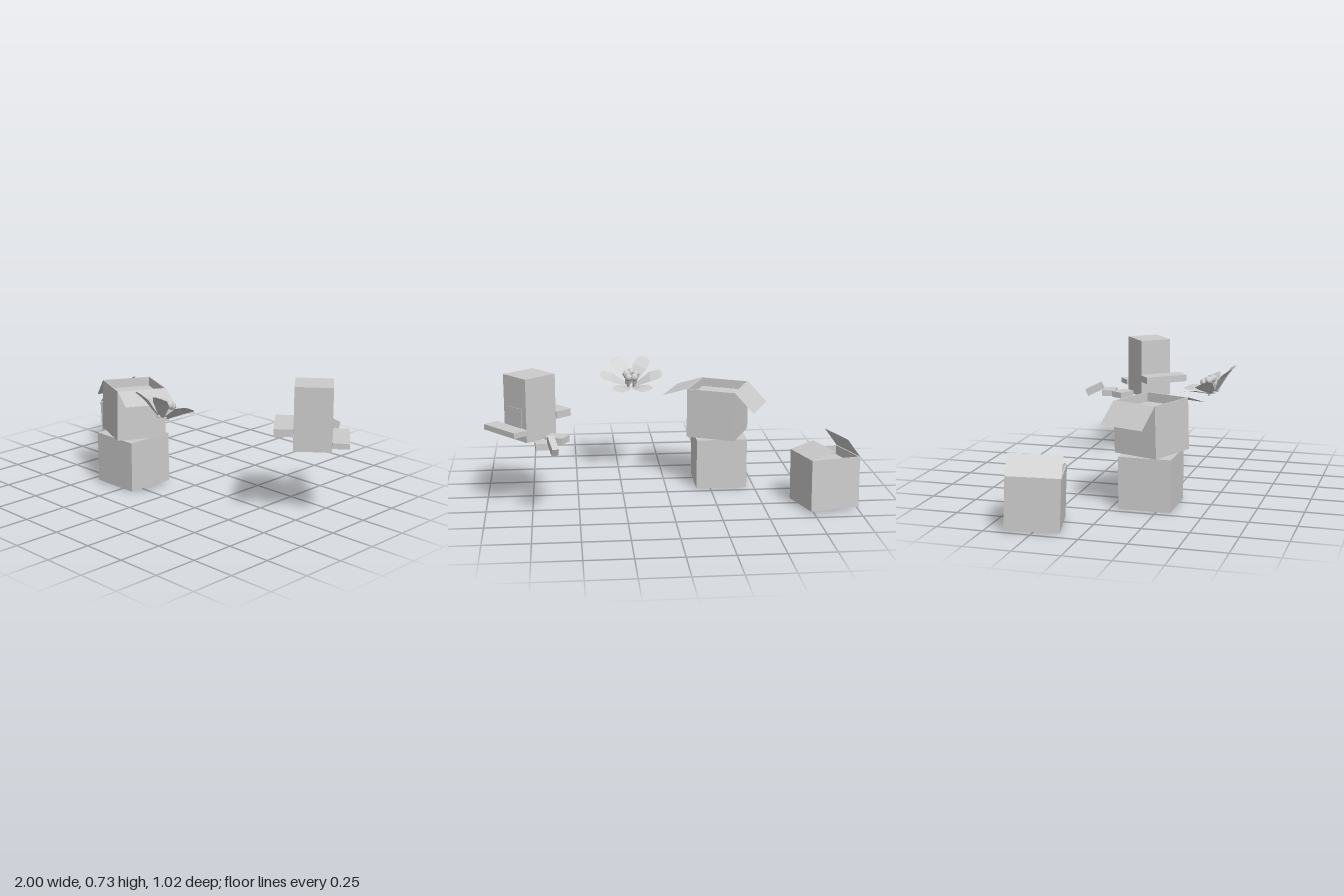
import * as THREE from 'three';

const rad = THREE.MathUtils.degToRad;
const flat = new THREE.MeshStandardMaterial({ color: 0xcccccc, flatShading: true });
const thin = new THREE.MeshStandardMaterial({ color: 0xcccccc, flatShading: true, side: THREE.DoubleSide });

function mesh(name, geometry, material = flat) {
  const m = new THREE.Mesh(geometry, material);
  m.name = name;
  return m;
}

function box(name, size, position, rotation = [0, 0, 0]) {
  const m = mesh(name, new THREE.BoxGeometry(...size));
  m.position.set(...position);
  m.rotation.set(...rotation.map(rad), 'YXZ');
  return m;
}

// Flap hinged on the left or right top edge; 0 degrees lies straight outwards
function flap(name, side, size, length, angle) {
  const geometry = new THREE.PlaneGeometry(length, size);
  geometry.rotateX(-Math.PI / 2).translate(length / 2, 0, 0);
  const hinge = new THREE.Group();
  const m = mesh(name, geometry, thin);
  m.rotation.z = rad(angle);
  hinge.add(m);
  hinge.position.set(side * size / 2, size / 2, 0);
  if (side < 0) hinge.rotation.y = Math.PI;
  return hinge;
}

// Carton with a thin rim around a sunken top and two side flaps
function openCarton(name, size, leftFlap, rightFlap) {
  const h = size / 2, r = h * Math.SQRT2, rim = 0.01, depth = 0.05;
  const profile = [[0, -h], [r, -h], [r, h], [r - rim, h], [r - rim, h - depth], [0, h - depth]]
    .map(([x, y]) => new THREE.Vector2(x, y));
  const g = new THREE.Group();
  g.name = name;
  g.add(mesh('cartonBody', new THREE.LatheGeometry(profile, 4).rotateY(Math.PI / 4)));
  g.add(flap('leftFlap', 1, size, ...leftFlap));
  g.add(flap('rightFlap', -1, size, ...rightFlap));
  return g;
}

// Petal running along +z, bent over three cross-sections
function petalGeometry() {
  const sections = [[0.02, 0.0, 0.03], [0.11, 0.06, 0.09], [0.165, 0.08, 0.08], [0.18, 0.083, 0.035]];
  const g = new THREE.PlaneGeometry(1, 1, 1, sections.length - 1);
  const p = g.attributes.position;
  sections.forEach(([z, y, w], i) => {
    p.setXYZ(2 * i, -w / 2, y, z);
    p.setXYZ(2 * i + 1, w / 2, y, z);
  });
  g.computeVertexNormals();
  return g;
}

function createFlower() {
  const g = new THREE.Group();
  g.name = 'flower';
  const petal = petalGeometry();
  for (let i = 0; i < 6; i++) {
    const m = mesh('petal', petal, thin);
    m.rotation.y = rad(30 + i * 60);
    g.add(m);
  }
  // Stamens: short stems with round tips
  for (let i = 0; i < 5; i++) {
    const a = i * Math.PI * 2 / 5, r = 0.028;
    const x = r * Math.sin(a), z = r * Math.cos(a);
    const stem = mesh('stamenStem', new THREE.CylinderGeometry(0.009, 0.009, 0.07, 6));
    stem.position.set(x, 0.03, z);
    const tip = mesh('stamenTip', new THREE.SphereGeometry(0.023, 8, 6));
    tip.position.set(x, 0.075, z);
    g.add(stem, tip);
  }
  g.position.set(0.175, 0.525, 0.415);
  g.rotation.x = rad(-26);
  return g;
}

// Tall block with two side slabs, a side panel and a trail of small blocks
function createBlockFigure() {
  const g = new THREE.Group();
  g.name = 'blockFigure';
  const torso = new THREE.Group();
  torso.name = 'torso';
  torso.add(box('body', [0.2, 0.345, 0.19], [0, 0, 0]));
  torso.add(box('leftSlab', [0.09, 0.03, 0.265], [0.145, -0.115, 0.028]));
  torso.add(box('rightSlab', [0.1, 0.04, 0.26], [-0.15, -0.055, 0.029]));
  torso.add(box('sidePanel', [0.01, 0.11, 0.115], [0.098, -0.05, 0]));
  torso.position.set(0.7525, 0.5525, -0.1175);
  torso.rotation.y = rad(39);
  g.add(torso);
  g.add(box('tailNear', [0.105, 0.035, 0.082], [0.61, 0.397, -0.245], [0, -30, 0]));
  g.add(box('tailMiddle', [0.11, 0.035, 0.075], [0.67, 0.393, -0.345], [0, 5, 0]));
  g.add(box('tailEnd', [0.035, 0.042, 0.11], [0.633, 0.413, -0.43], [-26, 14, 0]));
  return g;
}

export function createModel() {
  const model = new THREE.Group();
  model.name = 'cartonsAndFigures';

  // Low carton on its own, flaps folded over the top
  const lone = openCarton('lowCarton', 0.28, [0.14, 164], [0.125, 127]);
  lone.position.set(-0.834, 0.148, -0.277);
  lone.rotation.set(rad(2.5), rad(13.3), 0);
  model.add(lone);

  // Stack: closed carton below, open carton turned on top
  model.add(box('closedCarton', [0.285, 0.284, 0.283], [-0.314, 0.142, 0.185]));
  const upper = openCarton('upperCarton', 0.28, [0.155, -19], [0.155, -45]);
  upper.position.set(-0.306, 0.43, 0.183);
  upper.rotation.set(rad(-1.5), rad(-24), 0);
  model.add(upper);

  model.add(createFlower(), createBlockFigure());
  return model;
}
